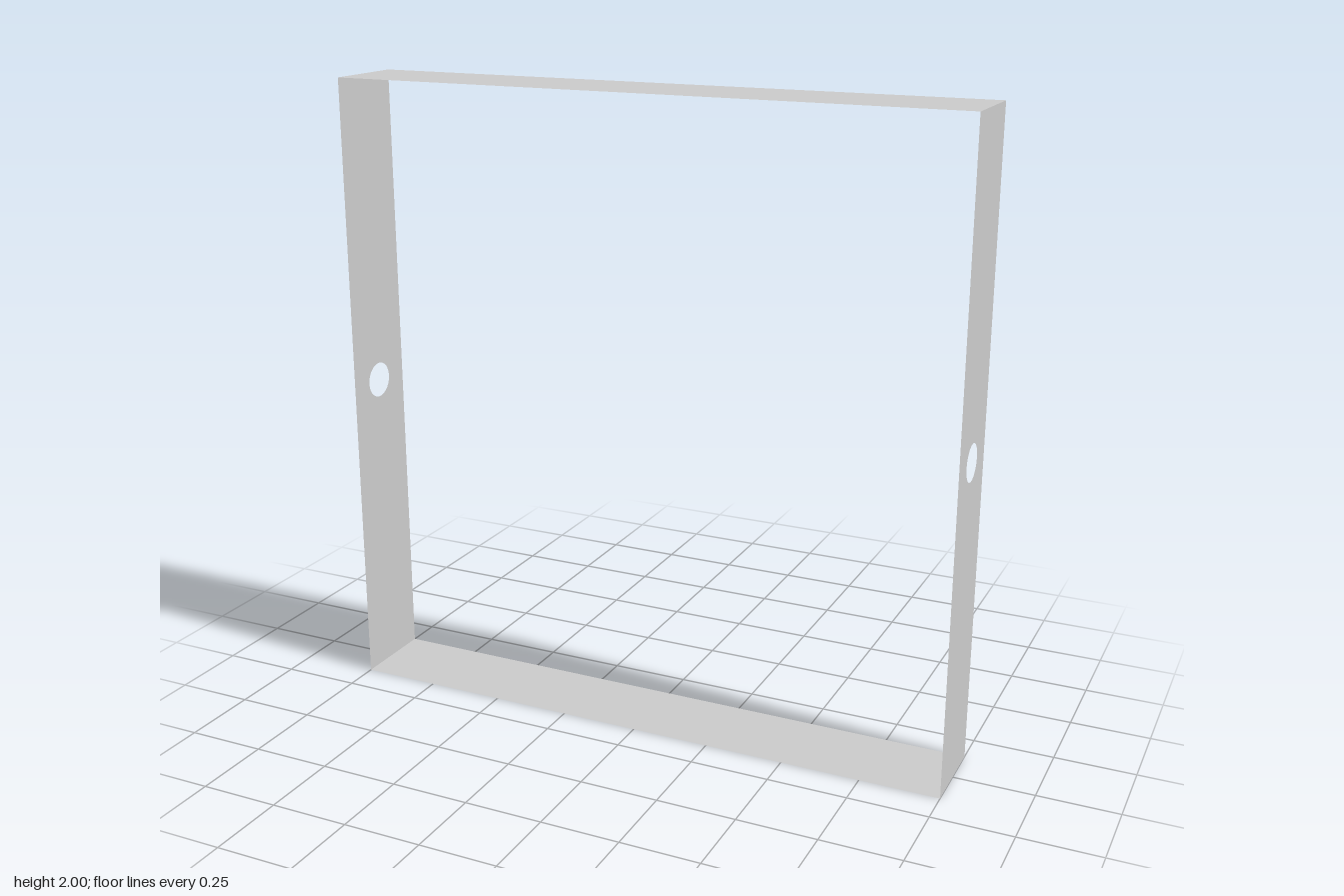
import * as THREE from 'three';

const SIZE = 2;       // outer width and height
const DEPTH = 0.274;  // front-to-back depth of the band
const HOLE = 0.057;   // radius of the side holes

export function createModel() {
  const frame = new THREE.Group();
  frame.name = 'squareFrame';
  const material = new THREE.MeshStandardMaterial({ color: 0xcccccc, side: THREE.DoubleSide });

  // Thin top and bottom strips, facing outwards
  const strip = new THREE.PlaneGeometry(SIZE, DEPTH);
  for (const [name, y, turn] of [['topPanel', SIZE, -1], ['bottomPanel', 0, 1]]) {
    const panel = new THREE.Mesh(strip, material);
    panel.name = name;
    panel.position.y = y;
    panel.rotation.x = turn * Math.PI / 2;
    frame.add(panel);
  }

  // Thin side strips, each with a round hole at mid height
  const d = DEPTH / 2, h = SIZE / 2;
  const outline = new THREE.Shape([
    new THREE.Vector2(-d, -h), new THREE.Vector2(d, -h),
    new THREE.Vector2(d, h), new THREE.Vector2(-d, h),
  ]);
  outline.holes.push(new THREE.Path().absarc(0, 0, HOLE, 0, Math.PI * 2, true));
  const side = new THREE.ShapeGeometry(outline, 32);
  for (const [name, s] of [['leftPanel', 1], ['rightPanel', -1]]) {
    const panel = new THREE.Mesh(side, material);
    panel.name = name;
    panel.position.set(s * h, h, 0);
    panel.rotation.y = s * Math.PI / 2;
    frame.add(panel);
  }
  return frame;
}
